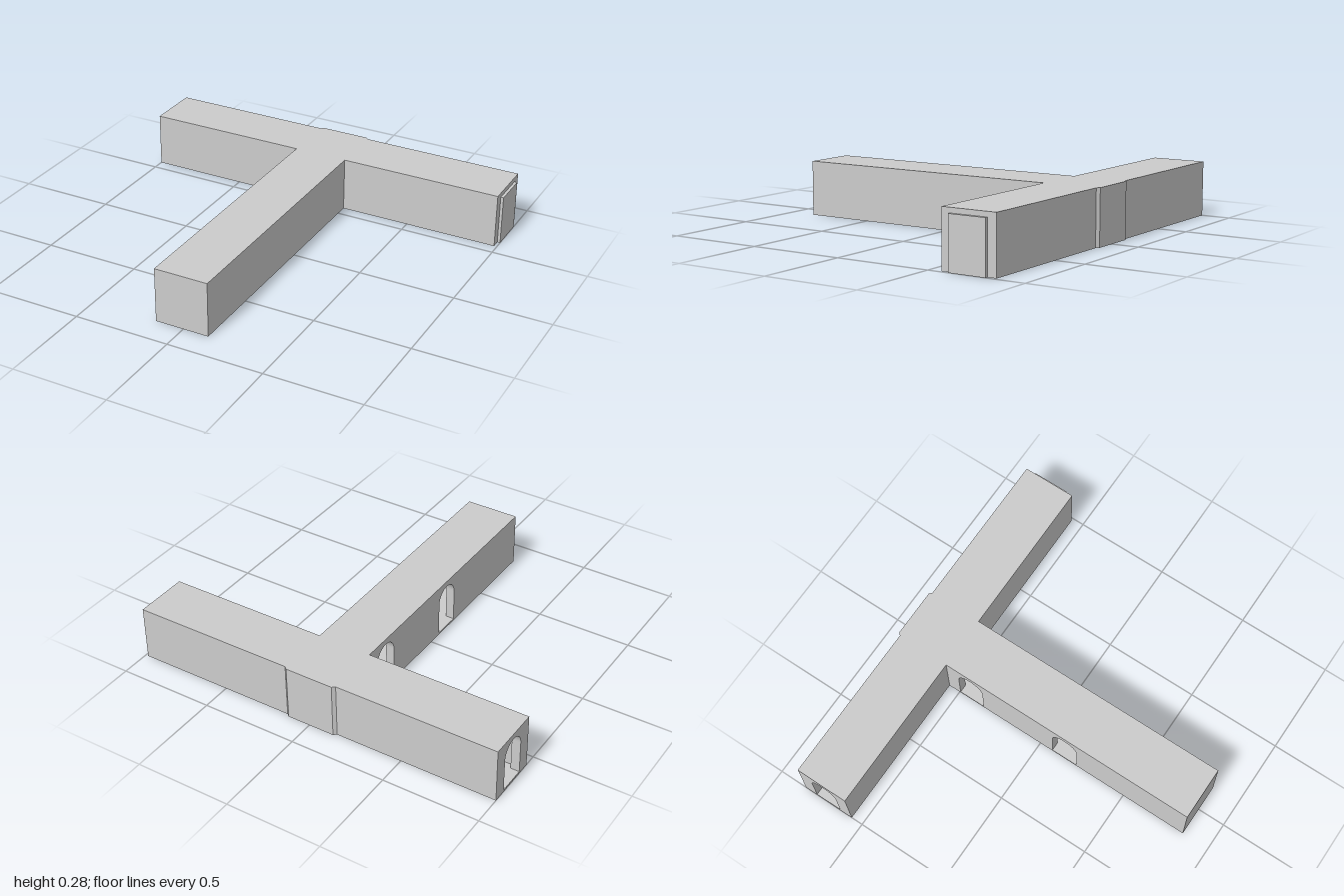
import * as THREE from 'three';

const CELL = 0.2836;              // plan grid of the corridor
const H = 0.285, ROOF = 0.025, FLOOR = 0.01, T = 0.045;
const X0 = -1, X1 = X0 + 7 * CELL;            // cross corridor ends
const S0 = X0 + 3 * CELL, S1 = S0 + CELL;     // stem sides
const Z0 = -0.847, Z1 = Z0 + CELL, Z2 = Z1 + 5 * CELL; // back, inner front, stem end
const WALL = H - ROOF;

export function createModel() {
  const model = new THREE.Group();
  const material = new THREE.MeshStandardMaterial({ color: 0xcccccc, flatShading: true });

  const add = (name, geometry) => {
    const mesh = new THREE.Mesh(geometry, material);
    mesh.name = name;
    model.add(mesh);
    return mesh;
  };

  const box = (name, xa, xb, za, zb, ya = 0, yb = WALL) =>
    add(name, new THREE.BoxGeometry(xb - xa, yb - ya, zb - za))
      .position.set((xa + xb) / 2, (ya + yb) / 2, (za + zb) / 2);

  // Plan outline of [x, z] points raised from height ya to yb
  const slab = (name, points, ya, yb) => {
    const shape = new THREE.Shape(points.map(([x, z]) => new THREE.Vector2(x, -z)));
    const geometry = new THREE.ExtrudeGeometry(shape, { depth: yb - ya, bevelEnabled: false });
    add(name, geometry.rotateX(-Math.PI / 2)).position.y = ya;
  };

  // T-shaped plan, inset by a wall thickness
  const tee = (d) => [
    [X0 + d, Z0 + d], [X0 + d, Z1 - d], [S0 + d, Z1 - d], [S0 + d, Z2 - d],
    [S1 - d, Z2 - d], [S1 - d, Z1 - d], [X1 - d, Z1 - d], [X1 - d, Z0 + d],
  ];

  // Wall facing -x with round-headed doorways centred at the given z values
  const archedWall = (name, x, za, zb, doors) => {
    const r = 0.072, spring = 0.183;
    const shape = new THREE.Shape();
    shape.moveTo(za, 0).lineTo(zb, 0).lineTo(zb, WALL).lineTo(za, WALL).closePath();
    for (const z of doors) {
      const hole = new THREE.Path();
      hole.moveTo(z - r, FLOOR).lineTo(z - r, spring);
      hole.absarc(z, spring, r, Math.PI, 0, true);
      hole.lineTo(z + r, FLOOR).closePath();
      shape.holes.push(hole);
    }
    const geometry = new THREE.ExtrudeGeometry(shape, { depth: T, bevelEnabled: false, curveSegments: 12 });
    add(name, geometry.rotateY(-Math.PI / 2)).position.x = x + T;
  };

  slab('roof', tee(0), WALL, H);
  slab('floor', tee(T), 0, FLOOR);

  // Cross corridor
  box('backWall', X0, X1, Z0, Z0 + T);
  box('rightEndWall', X1 - T, X1, Z0 + T, Z1 - T);
  archedWall('leftEndWall', X0, Z0 + T, Z1 - T, [(Z0 + Z1) / 2]);
  box('frontLeftWall', X0, S0 + T, Z1 - T, Z1);
  box('frontRightWall', S1 - T, X1, Z1 - T, Z1);

  // Stem corridor, with doorways in its first and third cells
  archedWall('stemArchedWall', S0, Z1, Z2, [Z1 + 0.5 * CELL, Z1 + 2.5 * CELL]);
  box('stemPlainWall', S1 - T, S1, Z1, Z2);
  box('stemEndWall', S0 + T, S1 - T, Z2 - T, Z2);

  // Raised panel on the closed end
  box('endPanel', X1, 1, Z0 + T, Z1 - T);

  // Chamfered thickening behind the junction
  slab('junctionBacking', [[S0, Z0], [S1, Z0], [S1 - 0.015, -0.86], [S0 + 0.015, -0.86]], 0, H);

  return model;
}
